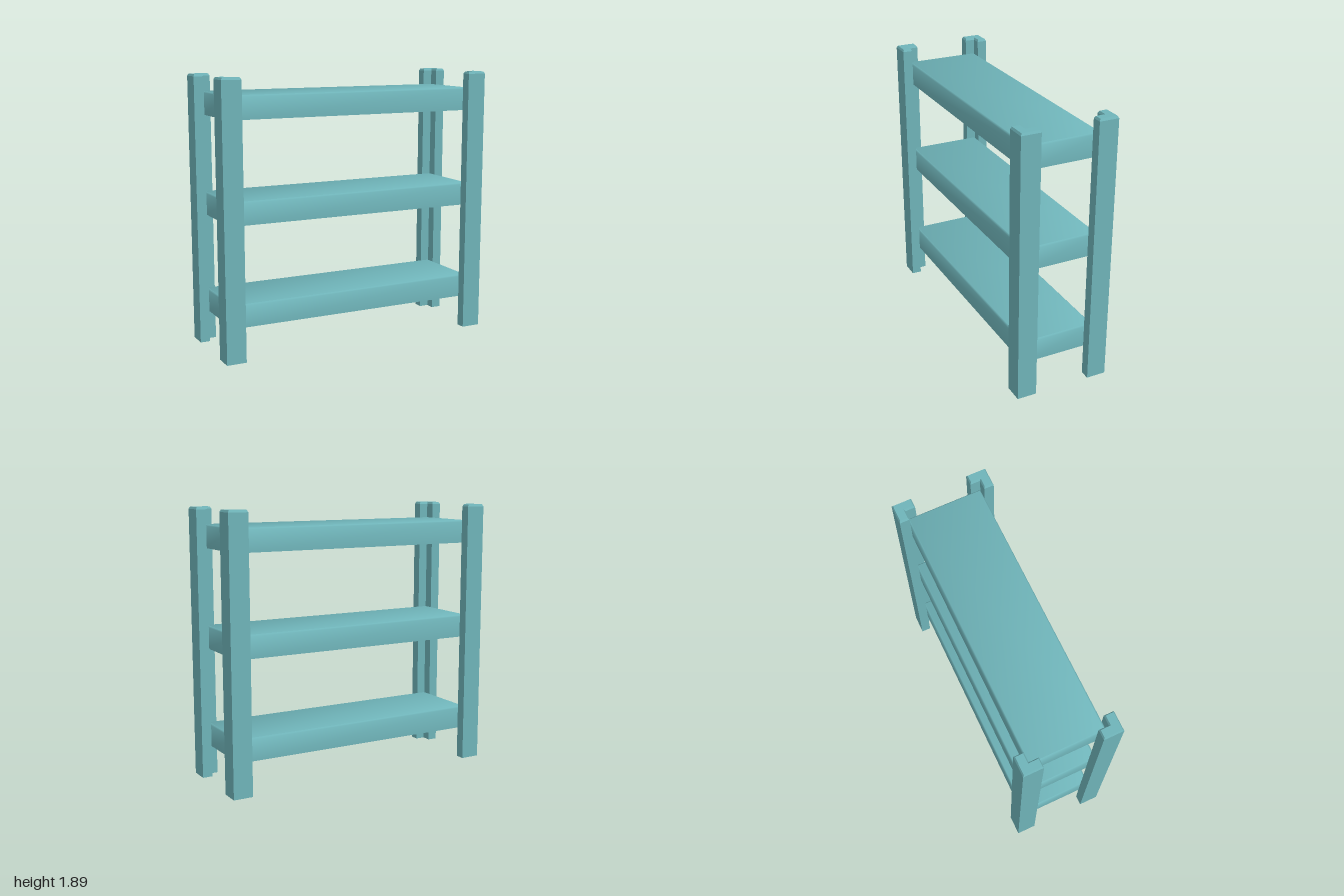
import * as THREE from 'three';
import { toCreasedNormals } from 'three/addons/utils/BufferGeometryUtils.js';

const teal = new THREE.MeshStandardMaterial({ color: 0x6fb4b9, side: THREE.DoubleSide });
teal.name = 'teal paint';

// Thin shell, open underneath, with a bevelled top edge.
// outline: right-angled [x, -z] points, anticlockwise seen from above.
function openShell(outline, bottom, top, inset, drop, crease) {
  const n = outline.length;
  const inward = (a, b) => new THREE.Vector2(a.y - b.y, b.x - a.x).normalize();
  const points = outline.map(([x, d]) => new THREE.Vector2(x, d));
  const insetPoints = points.map((p, i) => {
    const previous = points[(i + n - 1) % n], next = points[(i + 1) % n];
    return p.clone()
      .addScaledVector(inward(previous, p), inset)
      .addScaledVector(inward(p, next), inset);
  });
  const rings = [[points, bottom], [points, top - drop], [insetPoints, top]];
  const positions = [], index = [];
  for (const [ring, y] of rings) for (const p of ring) positions.push(p.x, y, -p.y);

  // walls and bevel
  for (let r = 0; r < 2; r++) {
    for (let i = 0; i < n; i++) {
      const a = r * n + i, b = r * n + (i + 1) % n;
      index.push(a, b, b + n, a, b + n, a + n);
    }
  }
  // top cap
  for (const [a, b, c] of THREE.ShapeUtils.triangulateShape(insetPoints, [])) {
    index.push(2 * n + a, 2 * n + b, 2 * n + c);
  }
  const geometry = new THREE.BufferGeometry();
  geometry.setAttribute('position', new THREE.Float32BufferAttribute(positions, 3));
  geometry.setIndex(index);
  return toCreasedNormals(geometry, crease);
}

export function createModel() {
  const model = new THREE.Group();
  model.name = 'shelvingUnit';
  const add = (name, geometry) => {
    const mesh = new THREE.Mesh(geometry, teal);
    mesh.name = name;
    model.add(mesh);
  };

  // L-section corner posts, notched towards the shelves
  const post = [[0.862, 0.268], [0.93, 0.268], [0.93, 0.199], [1, 0.199], [1, 0.337], [0.862, 0.337]];
  for (const sx of [-1, 1]) {
    for (const sz of [-1, 1]) {
      const outline = post.map(([x, z]) => [x * sx, -z * sz]);
      if (sx * sz > 0) outline.reverse();
      const name = (sz > 0 ? 'front' : 'back') + (sx > 0 ? 'Left' : 'Right') + 'Post';
      add(name, openShell(outline, 0, 1.887, 0.008, 0.015, 0.2));
    }
  }

  // shelves, hollow underneath
  const w = 0.928, d = 0.265;
  const shelf = [[-w, -d], [w, -d], [w, d], [-w, d]];
  ['lowerShelf', 'middleShelf', 'upperShelf'].forEach((name, i) => {
    const bottom = 0.22 + i * 0.695;
    add(name, openShell(shelf, bottom, bottom + 0.16, 0.01, 0.01, 0.9));
  });
  return model;
}
